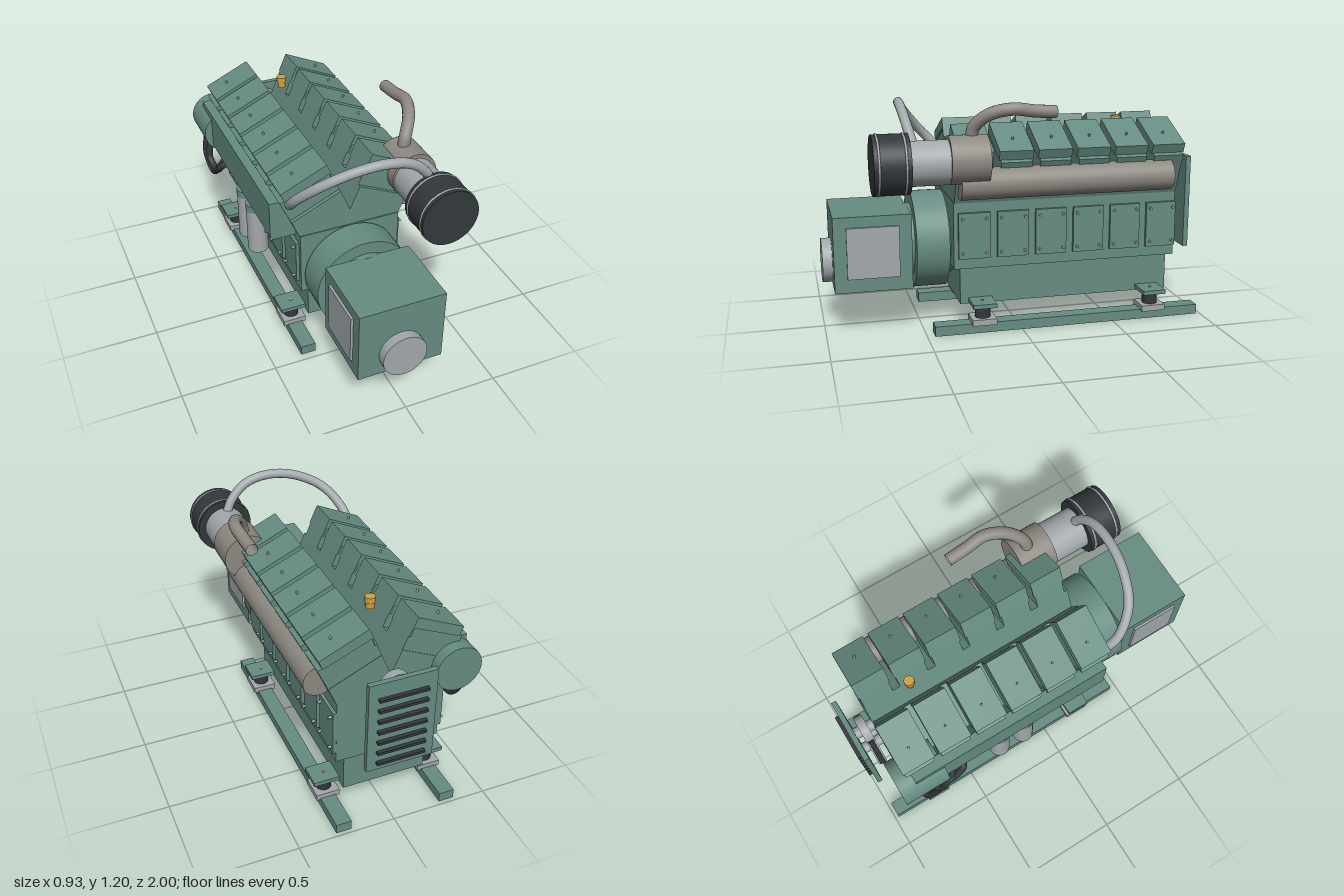
import * as THREE from 'three';

const mat = (color) => new THREE.MeshStandardMaterial({ color });
const GREEN = mat(0x668c82), LIGHT = mat(0xa2a8ab), DARK = mat(0x33383b), WARM = mat(0x8d8982), GOLD = mat(0xd0a040);
WARM.side = LIGHT.side = THREE.DoubleSide;

export function createModel() {
  const root = new THREE.Group();
  root.name = 'engine';
  const CX = -0.02; // centre line of the engine

  const add = (name, geo, m, x = 0, y = 0, z = 0) => {
    const mesh = new THREE.Mesh(geo, m);
    mesh.name = name;
    mesh.position.set(x, y, z);
    root.add(mesh);
    return mesh;
  };
  // box given by its limits
  const box = (name, m, x0, x1, y0, y1, z0, z1) =>
    add(name, new THREE.BoxGeometry(x1 - x0, y1 - y0, z1 - z0), m, (x0 + x1) / 2, (y0 + y1) / 2, (z0 + z1) / 2);
  // cylinder along x, y or z between a and b; u, v are the other two coordinates in xyz order
  const cyl = (name, m, axis, r, a, b, u, v, seg = 40) => {
    const g = new THREE.CylinderGeometry(r, r, b - a, seg);
    const c = (a + b) / 2;
    if (axis === 'x') return add(name, g.rotateZ(Math.PI / 2), m, c, u, v);
    if (axis === 'y') return add(name, g, m, u, c, v);
    return add(name, g.rotateX(Math.PI / 2), m, u, v, c);
  };
  // outline in x, y drawn out along z
  const extrude = (name, m, pts, z0, z1, x = 0) =>
    add(name, new THREE.ExtrudeGeometry(new THREE.Shape(pts.map(p => new THREE.Vector2(...p))),
      { depth: z1 - z0, bevelEnabled: false }), m, x, 0, z0);
  const hose = (name, m, pts, r) =>
    add(name, new THREE.TubeGeometry(new THREE.CatmullRomCurve3(pts.map(p => new THREE.Vector3(...p))), 48, r, 16), m);

  // base rails and rubber mounts
  for (const s of [-1, 1]) {
    const x = CX + s * 0.28;
    box('baseRail', GREEN, x - 0.04, x + 0.04, 0, 0.052, -0.98, 0.46);
    for (const z of [0.205, -0.72]) {
      box('mountFoot', LIGHT, x - 0.061, x + 0.061, 0.045, 0.077, z - 0.064, z + 0.064);
      cyl('mountRubber', DARK, 'y', 0.04, 0.077, 0.13, x, z);
      cyl('mountStud', LIGHT, 'y', 0.018, 0.13, 0.142, x, z, 16);
      cyl('mountBolt', LIGHT, 'y', 0.008, 0.16, 0.167, x, z, 8);
      const inner = CX + s * 0.2, outer = CX + s * 0.353;
      box('mountBracket', GREEN, Math.min(inner, outer), Math.max(inner, outer), 0.14, 0.162, z - 0.062, z + 0.062);
    }
  }

  // oil pan, crankcase and V-shaped banks
  box('oilPan', GREEN, CX - 0.218, CX + 0.22, 0.13, 0.34, -0.83, 0.31);
  box('crankcase', GREEN, CX - 0.27, CX + 0.27, 0.335, 0.686, -0.85, 0.35);
  const half = [[0.27, 0.68], [0.3125, 0.78], [0.0515, 0.9]];
  extrude('cylinderBanks', GREEN,
    [...half, [0, 0.778], ...half.map(([x, y]) => [-x, y]).reverse()], -0.85, 0.345, CX);

  // six heads, covers and inspection doors on each side
  const head = [[0.0515, 0.9], [0.1, 1.015], [0.364, 0.895], [0.3125, 0.78]];
  const cover = [[0.121, 1.062], [0.363, 0.952], [0.342, 0.904], [0.105, 1.008], [0.09, 0.965], [0.078, 0.967]];
  for (const s of [-1, 1]) {
    const flip = (pts) => pts.map(([x, y]) => [s * x, y]);
    for (let i = 0; i < 6; i++) {
      const z = 0.245 - i * 0.2025;
      extrude('cylinderHead', GREEN, flip(head), z - 0.08, z + 0.08, CX);
      extrude('headCover', GREEN, flip(cover), z - 0.0875, z + 0.0875, CX);
      const bolt = cyl('coverBolt', LIGHT, 'y', 0.006, 0.985, 1.01, CX + s * 0.268, z, 8);
      bolt.rotation.z = -s * 0.43;
      const xa = CX + s * 0.265, xb = CX + s * 0.287, xc = CX + s * 0.305;
      box('inspectionDoor', GREEN, Math.min(xa, xb), Math.max(xa, xb), 0.39, 0.63, z - 0.082, z + 0.082);
      for (const dz of [-0.062, 0.062]) for (const y of [0.42, 0.6])
        cyl('doorBolt', LIGHT, 'x', 0.007, Math.min(xb, xc), Math.max(xb, xc), y, z + dz, 8);
    }
  }

  // oil filler cap
  cyl('fillerNeck', GOLD, 'y', 0.021, 1.0, 1.035, CX, -0.605, 24);
  cyl('fillerCap', GOLD, 'y', 0.026, 1.03, 1.06, CX, -0.605, 24);

  // flywheel housing and generator
  cyl('flywheelHousing', GREEN, 'z', 0.255, 0.365, 0.535, CX, 0.442, 64);
  cyl('couplingRing', GREEN, 'z', 0.19, 0.33, 0.57, CX, 0.442, 48);
  box('generatorBody', GREEN, -0.242, 0.207, 0.238, 0.63, 0.555, 0.95);
  box('sidePanel', LIGHT, 0.2, 0.219, 0.31, 0.575, 0.62, 0.885);
  box('sidePanel', LIGHT, -0.255, -0.235, 0.31, 0.575, 0.62, 0.885);
  cyl('bearingCap', LIGHT, 'z', 0.115, 0.94, 1.0, CX, 0.355, 48);

  // exhaust manifold, turbo, air intake and filter
  cyl('exhaustManifold', WARM, 'z', 0.08, -0.785, 0.33, 0.31, 0.79);
  cyl('turbo', WARM, 'z', 0.122, 0.19, 0.385, 0.312, 0.915, 48);
  cyl('intakeDuct', LIGHT, 'z', 0.112, 0.38, 0.59, 0.31, 0.905, 48);
  cyl('airFilter', DARK, 'z', 0.15, 0.58, 0.76, 0.31, 0.905, 56);
  for (const z of [0.605, 0.735])
    add('filterBand', new THREE.TorusGeometry(0.149, 0.006, 8, 56), LIGHT, 0.31, 0.905, z);
  hose('exhaustElbow', WARM, [[0.3, 0.99, 0.265], [0.315, 1.07, 0.258], [0.365, 1.14, 0.19],
    [0.403, 1.168, 0.08], [0.398, 1.155, -0.03], [0.392, 1.147, -0.14]], 0.032);
  hose('breatherHose', LIGHT, [[-0.335, 0.88, 0.33], [-0.333, 0.96, 0.41], [-0.25, 1.075, 0.51], [-0.1, 1.15, 0.565],
    [0.05, 1.17, 0.585], [0.18, 1.14, 0.585], [0.27, 1.06, 0.57], [0.31, 0.98, 0.55]], 0.025);

  // cooler along the side, with alternator, hoses and oil filters
  extrude('sideCooler', GREEN, [[-0.425, 0.877], [-0.36, 0.877], [-0.28, 0.78], [-0.28, 0.66],
    [-0.41, 0.66], [-0.425, 0.675]], -0.82, 0.285);
  cyl('alternator', GREEN, 'z', 0.119, -0.907, -0.66, -0.348, 0.752, 48);
  for (const [dz, dy] of [[0, 0], [0.07, 0.05]])
    hose('coolantHose', DARK, [[-0.42, 0.68, -0.8 + dz], [-0.435, 0.56, -0.79 + dz], [-0.42, 0.47 + dy, -0.72 + dz],
      [-0.41, 0.54 + dy, -0.63 + dz], [-0.34, 0.635, -0.62 + dz]], 0.019);
  for (const z of [-0.31, -0.16]) {
    cyl('oilFilter', LIGHT, 'y', 0.057, 0.28, 0.55, -0.348, z, 32);
    cyl('oilFilterHead', GREEN, 'y', 0.0585, 0.545, 0.585, -0.348, z, 32);
  }

  // pulleys, belt and vented guard at the back
  cyl('crankPulley', LIGHT, 'z', 0.118, -0.925, -0.88, CX, 0.46, 48);
  cyl('fanPulley', LIGHT, 'z', 0.073, -0.925, -0.88, CX, 0.755, 40);
  cyl('crankShaft', LIGHT, 'z', 0.03, -0.96, -0.84, CX, 0.46, 20);
  cyl('fanShaft', LIGHT, 'z', 0.03, -0.96, -0.84, CX, 0.755, 20);
  for (const s of [-1, 1]) {
    const belt = box('driveBelt', DARK, CX - 0.006, CX + 0.006, 0.46, 0.76, -0.918, -0.888);
    belt.position.x += s * 0.097;
    belt.rotation.z = s * 0.153;
  }
  box('beltGuard', GREEN, CX - 0.173, CX + 0.173, 0.345, 0.848, -0.98, -0.953);
  for (let i = 0; i < 7; i++) {
    const y = 0.39 + i * 0.062;
    box('guardSlot', DARK, CX - 0.125, CX + 0.125, y - 0.007, y + 0.007, -1.0, -0.978);
  }
  return root;
}
